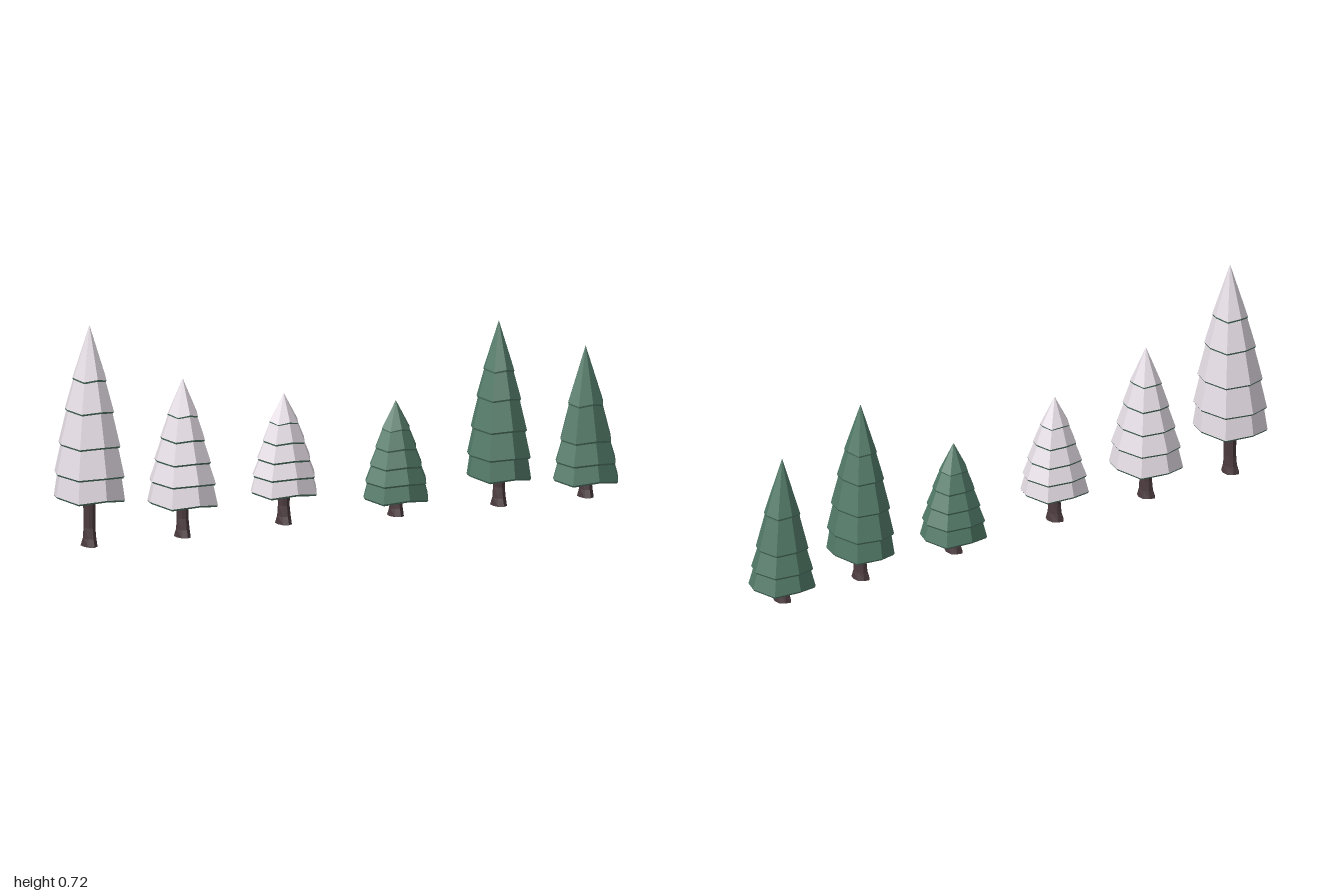
import * as THREE from 'three';

const mat = (color, side = THREE.FrontSide) =>
  new THREE.MeshStandardMaterial({ color, flatShading: true, side });
const GREEN = mat(0x527a68);
const GREEN_UNDER = mat(0x527a68, THREE.DoubleSide);
const SNOW = mat(0xe4dce4);
const BARK = mat(0x4b3a3d);

// Tier spacing [height fraction of the foliage, fraction of the widest radius], bottom to top
const TALL = [[0, 1], [0.135, 0.985], [0.31, 0.87], [0.51, 0.69], [0.69, 0.48]];
const SHORT = [[0, 1], [0.17, 0.94], [0.34, 0.8], [0.52, 0.63], [0.71, 0.43]];
const FOUR = [[0, 1], [0.135, 0.92], [0.3, 0.78], [0.57, 0.54]];

// x position, foliage bottom, top, half widths in x and z, spacing, snow cover, trunk base
const TREES = [
  { x: -0.885, low: 0.163, top: 0.72, rx: 0.117, rz: 0.127, tiers: TALL, snow: true },
  { x: -0.553, low: 0.116, top: 0.516, rx: 0.116, rz: 0.126, tiers: SHORT, snow: true },
  { x: -0.193, low: 0.116, top: 0.435, rx: 0.115, rz: 0.105, tiers: SHORT, snow: true, base: 0.01 },
  { x: 0.206, low: 0.06, top: 0.375, rx: 0.113, rz: 0.103, tiers: SHORT },
  { x: 0.573, low: 0.1, top: 0.602, rx: 0.104, rz: 0.119, tiers: TALL },
  { x: 0.882, low: 0.059, top: 0.492, rx: 0.114, rz: 0.102, tiers: FOUR },
];

// Eight-sided lathe whose rim corners alternate up and down
function scallopedLathe(profile, rimRadius, drop) {
  const geo = new THREE.LatheGeometry(profile.map(([r, y]) => new THREE.Vector2(r, y)), 8);
  const p = geo.attributes.position;
  for (let i = 0; i < p.count; i++) {
    const column = Math.floor(i / profile.length);
    const weight = Math.hypot(p.getX(i), p.getZ(i)) / rimRadius;
    p.setY(i, p.getY(i) + (column % 2 ? -drop : drop) * weight);
  }
  return geo;
}

function addMesh(parent, name, geo, material) {
  const mesh = new THREE.Mesh(geo, material);
  mesh.name = name;
  parent.add(mesh);
}

// Knobbly trunk with a flared foot
function trunkGeometry(base, top) {
  const h = top - base;
  const profile = [[0, 0], [0.036, 0], [0.029, 0.025], [0.025, 0.06], [0.025, h * 0.75], [0.022, h]];
  const geo = new THREE.LatheGeometry(profile.map(([r, y]) => new THREE.Vector2(r, y)), 9);
  const p = geo.attributes.position;
  for (let i = 0; i < p.count; i++) {
    const column = Math.floor(i / profile.length) % 9;
    const k = 1 + 0.07 * Math.sin(column * 2.4 + (i % profile.length) * 1.3);
    p.setXYZ(i, p.getX(i) * k * 0.72, p.getY(i) + base, p.getZ(i) * k);
  }
  return geo;
}

function createTree({ x, low, top, rx, rz, tiers, snow, base = 0 }) {
  const tree = new THREE.Group();
  tree.position.x = x;
  const foliage = new THREE.Group();
  foliage.name = 'foliage';
  foliage.scale.x = rx / rz;
  tree.add(foliage);

  const rims = tiers.map(([f, w]) => [w * rz, low + f * (top - low)]);
  rims.forEach(([r, y], i) => {
    const next = rims[i + 1];
    const drop = i === 0 ? 0.006 : 0.004;
    // Outer wall runs up under the tier above, or to the tip
    const end = next ? [next[0] * 0.91, next[1] + 0.004] : [0, top];
    addMesh(foliage, 'tier', scallopedLathe([[r, y], end], r, drop), snow ? SNOW : GREEN);
    // Lip and hollow underside
    const peak = next ? next[1] : y + (top - y) * 0.5;
    const under = [[0.015, peak], [r * 0.9, y + 0.005], [r * 0.965, y - 0.006], [r, y]];
    addMesh(foliage, 'tierUnderside', scallopedLathe(under, r, drop), GREEN_UNDER);
  });

  addMesh(tree, 'trunk', trunkGeometry(base, rims[1][1]), BARK);
  return tree;
}

export function createModel() {
  const model = new THREE.Group();
  model.name = 'rowOfTrees';
  TREES.forEach((spec) => {
    const tree = createTree(spec);
    tree.name = spec.snow ? 'snowyTree' : 'greenTree';
    model.add(tree);
  });
  return model;
}
